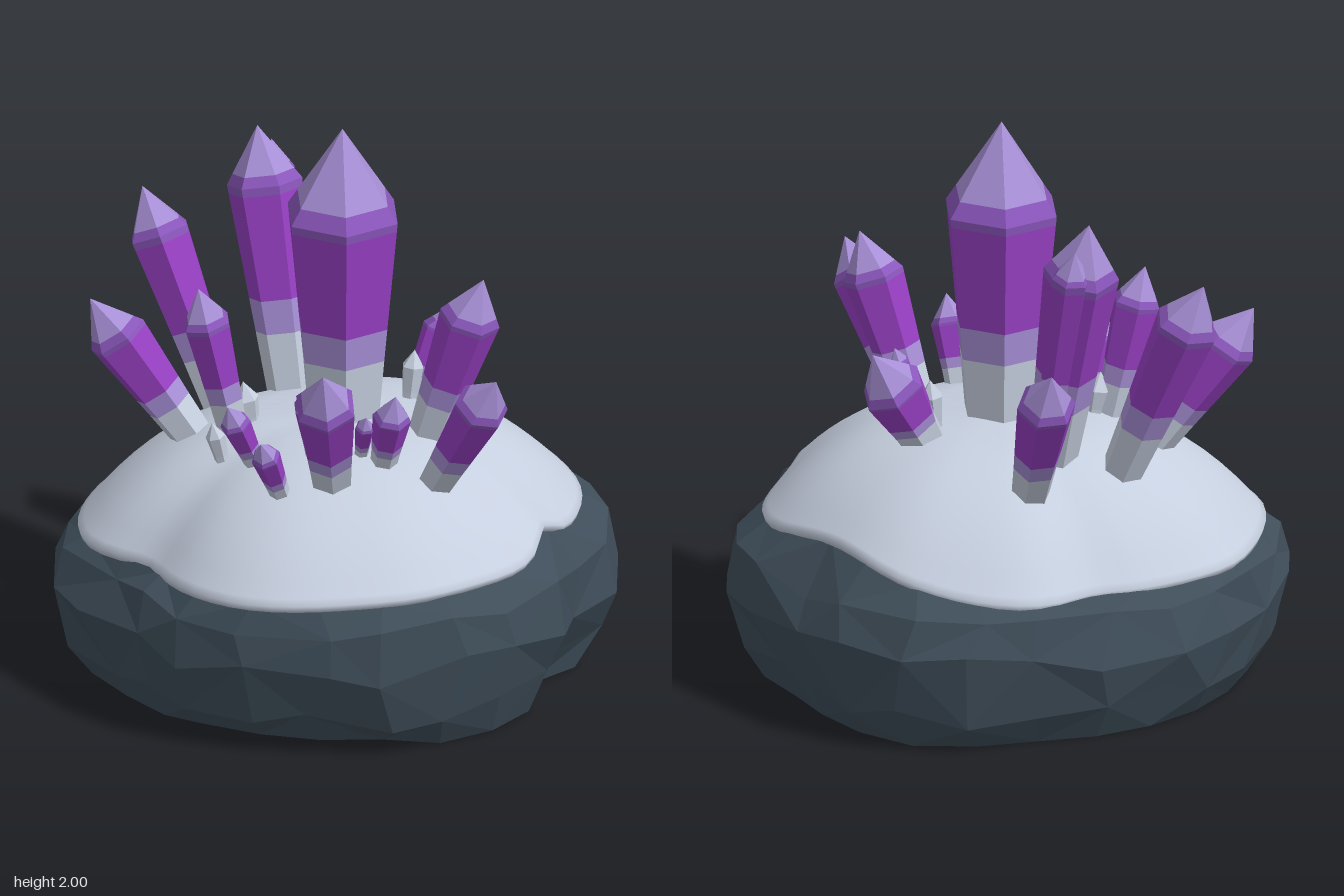
import * as THREE from 'three';

const mat = (name, color) => Object.assign(new THREE.MeshStandardMaterial({ color }), { name });

// Radii every 30 degrees, from +x towards +z
const ROCK = [.94, .97, .93, .95, .95, .95, .98, 1.03, .98, .95, .92, 1.02];
const CAP = [.77, .82, .79, .84, .87, .91, .86, .92, .9, .81, .84, .83];

// Smooth lookup round a closed table
function around(table, a) {
  const n = table.length, f = ((a / (2 * Math.PI)) * n + n) % n, i = Math.floor(f), t = f - i;
  return THREE.MathUtils.lerp(table[i], table[(i + 1) % n], t * t * (3 - 2 * t));
}

// Narrow bump centred on one angle
const bump = (a, centre, sharp = 50) => Math.exp(sharp * (Math.cos(a - centre) - 1));

// Outlines, with a notch on the right side, a bay at the back and a cleft at the front left
const rockRadius = a => around(ROCK, a) - .13 * bump(a, 3.27, 120) - .06 * bump(a, 1.08, 120);
const capRadius = a => around(CAP, a) - .06 * bump(a, 3.27) - .07 * bump(a, 4.97) - .03 * bump(a, 1.12, 120);

// The cap hangs lower at the back and rises on the left and at the front cleft
const capEdge = a => .555 + .04 * Math.sin(a) + .1 * bump(a, -.1, 8) + .06 * bump(a, 1.15, 100);
const capHeight = (a, s) => THREE.MathUtils.lerp(.945, capEdge(a), s ** 2.7);

// Repeatable noise in -1..1
function noise(i, j) {
  const s = Math.sin(i * 127.1 + j * 311.7 + 4.2) * 43758.5453;
  return 2 * (s - Math.floor(s)) - 1;
}

// Closed rings, listed from the bottom up, joined into one skin
function loft(rows, cols, point) {
  const pos = [], index = [];
  for (let i = 0; i < rows; i++) for (let j = 0; j < cols; j++) pos.push(...point(i, j));
  for (let i = 0; i < rows - 1; i++) {
    for (let j = 0; j < cols; j++) {
      const a = i * cols + j, b = i * cols + (j + 1) % cols, c = a + cols, d = b + cols;
      if ((i + j) % 2) index.push(a, c, b, b, c, d);
      else index.push(a, c, d, a, d, b);
    }
  }
  const g = new THREE.BufferGeometry();
  g.setAttribute('position', new THREE.Float32BufferAttribute(pos, 3));
  g.setIndex(index);
  g.computeVertexNormals();
  return g;
}

function faceted(geometry) {
  const g = geometry.toNonIndexed();
  g.computeVertexNormals();
  return g;
}

// Faceted boulder; rows are [share of outline, height, blend towards the cap outline]
function makeRock() {
  const rows = [[0, .03, 0], [.5, .02, 0], [.86, 0, 0], [.95, .13, 0], [1.005, .33, 0], [1, .49, .3], [.98, 0, 1]];
  const cols = 24, last = rows.length - 1;
  return faceted(loft(rows.length, cols, (i, j) => {
    const [s, h, blend] = rows[i];
    const rough = i > 2 && i < last ? 1 : 0;
    const a = (j / cols) * 2 * Math.PI + rough * noise(i, j) * .06;
    // The front face stays steep almost up to the cap
    const lean = blend - (i === last - 1 ? .22 * Math.max(0, Math.sin(a)) : 0);
    let r = s * THREE.MathUtils.lerp(rockRadius(a), capRadius(a), lean);
    r *= 1 - rough * .01 * (1 + noise(j, i + 9));
    // Clefts low down at the front left
    if (i === 2 || i === 3) r *= 1 - .1 * bump(a, 1.05) - .05 * bump(a, .26);
    let y = h + rough * noise(i + 5, j) * .045;
    // Underside lifts a little at the front right
    if (i === 2 && j > 7 && j < 12) y = .04;
    if (i === last) y = capEdge(a) - .01;
    else y = Math.min(y, capEdge(a) - .04);
    return [r * Math.cos(a), y, r * Math.sin(a)];
  }));
}

// Smooth dome with a rolled lip
function makeCap() {
  const lip = [[.92, -.03], [1, -.03], [1.01, -.005]];
  const cols = 72, steps = 10;
  return loft(lip.length + steps, cols, (i, j) => {
    const a = (j / cols) * 2 * Math.PI;
    const s = i < lip.length ? lip[i][0] : .985 * Math.sqrt(1 - (i - lip.length) / (steps - 1));
    const y = i < lip.length ? capEdge(a) + lip[i][1] : capHeight(a, s);
    const r = s * capRadius(a);
    return [r * Math.cos(a), y, r * Math.sin(a)];
  });
}

// Six-sided crystal leaning out from the cap, coloured in bands along its axis
function makeCrystal(name, tip, radius, rooting, turn, colours) {
  const g = new THREE.Group();
  g.name = name;
  // The root sits on the cap, part of the way from the middle to below the tip
  const x = tip[0] * rooting, z = tip[2] * rooting, a = Math.atan2(z, x);
  const root = new THREE.Vector3(x, capHeight(a, Math.hypot(x, z) / capRadius(a)) - .02, z);
  const axis = new THREE.Vector3(...tip).sub(root);
  const length = axis.length(), point = Math.min(radius * 1.5, length * .4), shaft = length - point;

  // Each ring: height along the axis, radius, and the band above it
  const ring = (t, part, colour) => [shaft * t, radius * (.64 + .36 * t), part, colour];
  const rings = [
    [-.06, radius * .62, 'foot', colours.foot],
    ring(.3, 'fade', colours.fade),
    ring(.46, 'shaft', colours.shaft),
    ring(.96, 'shoulder', colours.shoulder),
    ring(1, 'collar', colours.shoulder),
    [shaft + point * .18, radius * .82, 'tip', colours.fade],
    [length, 0],
  ];
  for (let i = 0; i < rings.length - 1; i++) {
    const [y0, r0, part, colour] = rings[i], [y1, r1] = rings[i + 1];
    const geometry = faceted(new THREE.CylinderGeometry(r1, r0, y1 - y0, 6, 1, true));
    geometry.translate(0, (y0 + y1) / 2, 0).rotateY(turn);
    const mesh = new THREE.Mesh(geometry, colour);
    mesh.name = part;
    g.add(mesh);
  }
  g.position.copy(root);
  g.quaternion.setFromUnitVectors(new THREE.Vector3(0, 1, 0), axis.normalize());
  return g;
}

export function createModel() {
  const model = new THREE.Group();
  model.name = 'crystalCluster';
  const slate = mat('slate', 0x3f4e5a);
  const pale = mat('paleGrey', 0xc6cfdf);
  const amethyst = {
    foot: pale,
    fade: mat('lavender', 0xa78fd6),
    shaft: mat('purple', 0x9840c4),
    shoulder: mat('violet', 0x8a56bb),
  };
  const plain = { foot: pale, fade: pale, shaft: pale, shoulder: pale };

  const rock = new THREE.Mesh(makeRock(), slate);
  rock.name = 'rock';
  const cap = new THREE.Mesh(makeCap(), pale);
  cap.name = 'paleCap';
  model.add(rock, cap);

  // Name, tip, radius
  const large = [
    ['mainCrystal', [-.01, 2, 0], .213],
    ['backCrystal', [.07, 1.8, -.57], .133],
    ['backSplinter', [.15, 1.72, -.59], .07],
    ['backRightCrystal', [-.24, 1.57, -.82], .115],
    ['farRightCrystal', [-.65, 1.33, -.6], .11],
    ['backLeftCrystal', [.38, 1.36, -.74], .105],
    ['leftCrystal', [.53, 1.25, .05], .118],
    ['frontLeftCrystal', [.24, 1.52, .47], .108],
    ['frontCrystal', [-.01, 1.33, .85], .098],
    ['frontRightCrystal', [-.54, 1.39, .55], .112],
  ];
  const small = [
    ['rightCrystal', [-.45, 1.43, -.25], .088],
    ['smallFrontCrystal', [-.16, 1.19, .48], .068],
    ['smallFrontSplinter', [-.21, 1.09, .38], .035],
    ['smallInnerCrystal', [-.36, 1.2, .24], .06],
    ['smallRightCrystal', [-.57, 1.12, .06], .055],
    ['smallOuterCrystal', [-.64, 1.09, .33], .052],
    ['smallLeftCrystal', [.29, 1.17, .22], .038],
  ];
  const shards = [
    ['paleLeftShard', [.28, 1.1, .04], .04],
    ['paleRightShard', [-.51, .99, -.1], .035],
    ['paleInnerShard', [-.3, 1.06, -.19], .045],
  ];
  const plant = (list, rooting, colours) => list.forEach(([name, tip, radius], i) => {
    model.add(makeCrystal(name, tip, radius, rooting, .43 + i * .35, colours));
  });
  plant(large, .6, amethyst);
  plant(small, .76, amethyst);
  plant(shards, .92, plain);
  return model;
}
